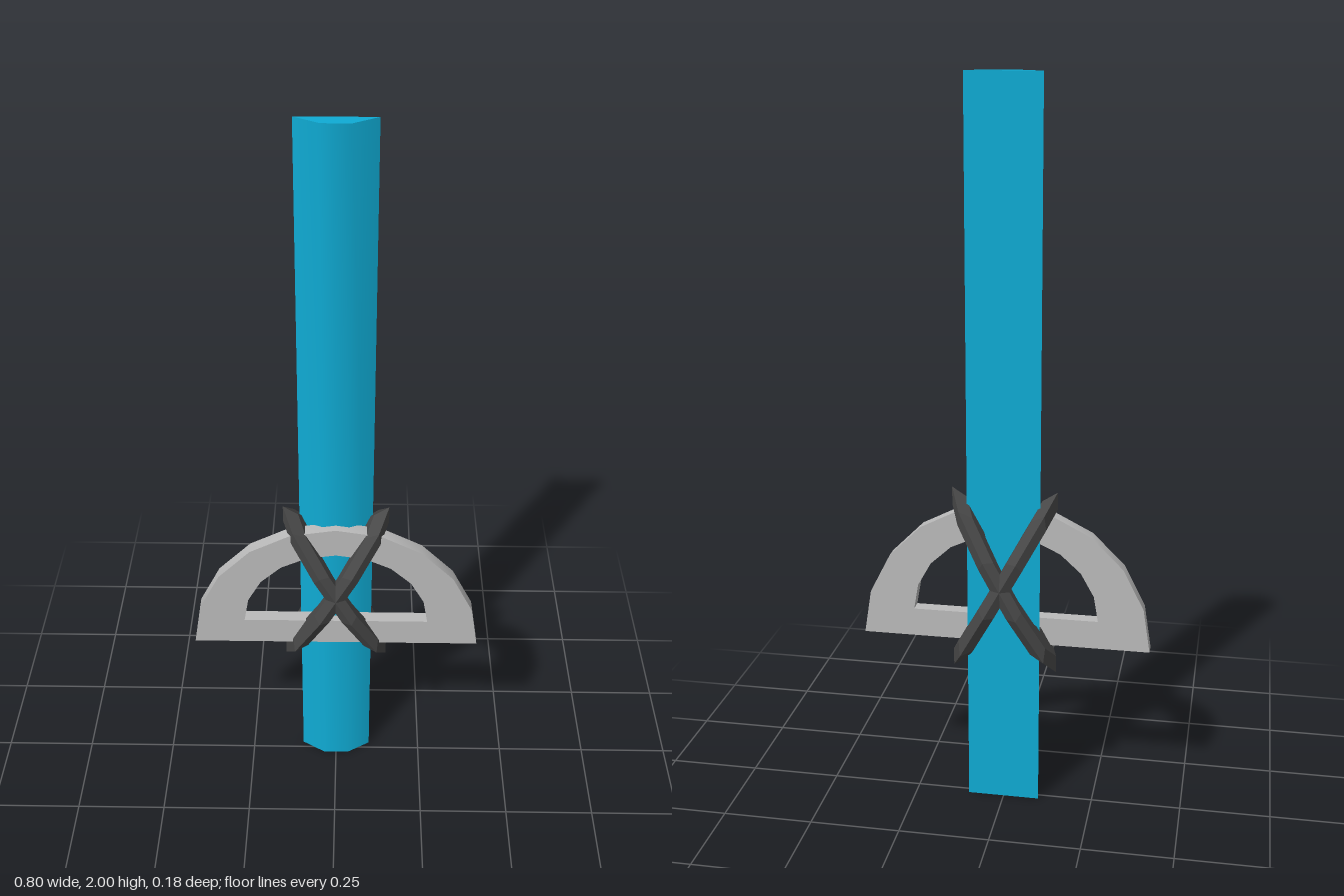
import * as THREE from 'three';
import { toCreasedNormals } from 'three/addons/utils/BufferGeometryUtils.js';

const paint = (color, flatShading = false) =>
  Object.assign(new THREE.MeshStandardMaterial({ color }), { flatShading });

function addMesh(parent, name, geometry, material) {
  const mesh = new THREE.Mesh(geometry, material);
  mesh.name = name;
  parent.add(mesh);
  return mesh;
}

// Points of a half ellipse standing on y = base, running from +x to -x
function halfEllipse(rx, ry, base, segments) {
  return Array.from({ length: segments + 1 }, (_, i) => {
    const a = (i / segments) * Math.PI;
    return new THREE.Vector2(Math.cos(a) * rx, base + Math.sin(a) * ry);
  });
}

export function createModel() {
  const model = new THREE.Group();
  model.name = 'rulerAndProtractor';

  // Ruler: flat back, bevelled front, extruded upwards
  const section = new THREE.Shape([
    new THREE.Vector2(-0.1, 0.02),
    new THREE.Vector2(0.1, 0.02),
    new THREE.Vector2(0.036, -0.02),
    new THREE.Vector2(-0.036, -0.02),
  ]);
  const rulerGeometry = new THREE.ExtrudeGeometry(section, { depth: 2, bevelEnabled: false });
  rulerGeometry.rotateX(-Math.PI / 2);
  addMesh(model, 'ruler', toCreasedNormals(rulerGeometry, 0.7), paint(0x0fabd4));

  // Protractor: half disc with a half-round window
  const disc = new THREE.Shape(halfEllipse(0.4, 0.4, 0.47, 10));
  disc.holes.push(new THREE.Path(halfEllipse(0.257, 0.235, 0.55, 10).reverse()));
  const discGeometry = new THREE.ExtrudeGeometry(disc, { depth: 0.038, bevelEnabled: false });
  discGeometry.translate(0, 0, 0.005);
  addMesh(model, 'protractor', toCreasedNormals(discGeometry, 0.4), paint(0xbbbbbb));

  // Two stretched bands crossing around both tools
  const bandGeometry = new THREE.TorusGeometry(1, 0.4, 6, 10);
  bandGeometry.rotateY(Math.PI / 2).rotateX(Math.PI / 2);
  bandGeometry.scale(0.0676, 0.214, 0.0676);
  const bandMaterial = paint(0x484848, true);
  for (const side of [1, -1]) {
    const band = addMesh(model, side > 0 ? 'leftBand' : 'rightBand', bandGeometry, bandMaterial);
    band.position.y = 0.655;
    band.rotation.z = -side * 0.5;
  }

  return model;
}
